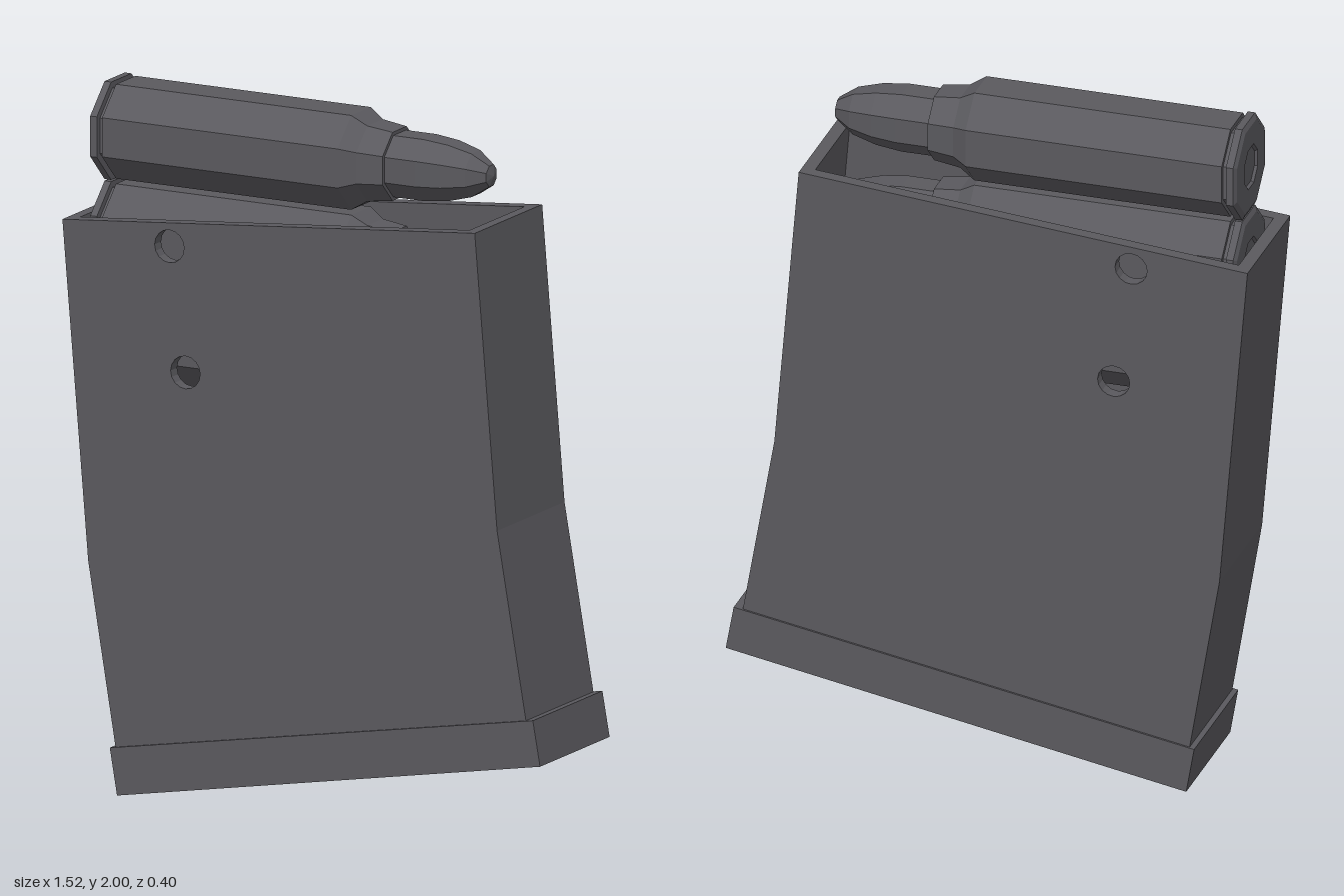
import * as THREE from 'three';

const HALF = 0.193;   // half width of the casing
const WALL = 0.037;   // wall thickness

// Outline points, top to bottom, along the two narrow sides
const BACK = [[-0.762, 1.627], [-0.68, 0.66], [-0.587, 0.1]];
const FRONT = [[0.549, 1.743], [0.62, 0.9], [0.72, 0.32]];
const HOLES = [[-0.422, 1.59], [-0.371, 1.235]];

function shapeOf(points) {
  return new THREE.Shape(points.map(([x, y]) => new THREE.Vector2(x, y)));
}

// Extrude a front-facing shape between two depths
function slab(name, shape, z0, z1, material) {
  const geometry = new THREE.ExtrudeGeometry(shape, {
    depth: z1 - z0, bevelEnabled: false, curveSegments: 8,
  });
  geometry.translate(0, 0, z0);
  const mesh = new THREE.Mesh(geometry, material);
  mesh.name = name;
  return mesh;
}

// Narrow wall: a band following one side of the outline, thickened inward
function endWall(name, side, inward, material) {
  const slope = (BACK[0][1] - FRONT[0][1]) / (BACK[0][0] - FRONT[0][0]);
  const inner = side.map(([x, y]) => [x + inward, y + inward * slope]);
  return slab(name, shapeOf([...side, ...inner.reverse()]), -HALF + WALL, HALF - WALL, material);
}

// Eight-sided cartridge pointing along +x; profile is [flat-to-axis distance, x]
function cartridgeGeometry() {
  const profile = [
    [0, -0.702], [0.055, -0.702], [0.06, -0.71], [0.125, -0.71], [0.14, -0.703],
    [0.14, -0.682], [0.122, -0.682], [0.122, -0.668], [0.135, -0.668],
    [0.135, 0.08], [0.108, 0.125], [0.098, 0.203], [0.088, 0.203],
    [0.088, 0.3], [0.08, 0.375], [0.062, 0.445], [0.03, 0.495], [0, 0.503],
  ];
  const points = profile.map(([a, x]) => new THREE.Vector2(a / Math.cos(Math.PI / 8), x));
  const geometry = new THREE.LatheGeometry(points, 8, Math.PI / 8);
  geometry.rotateZ(-Math.PI / 2);
  return geometry;
}

export function createModel() {
  const model = new THREE.Group();
  model.name = 'magazine';
  const metal = new THREE.MeshStandardMaterial({ color: 0x5a595e });
  metal.name = 'gunmetal grey';
  metal.flatShading = true;

  // Casing: two broad side walls with round inspection holes
  const sideShape = shapeOf([...BACK, ...[...FRONT].reverse()]);
  for (const [x, y] of HOLES) {
    sideShape.holes.push(new THREE.Path().absarc(x, y, 0.047, 0, Math.PI * 2, true));
  }
  const casing = new THREE.Group();
  casing.name = 'casing';
  casing.add(
    slab('leftSideWall', sideShape, HALF - WALL, HALF, metal),
    slab('rightSideWall', sideShape, -HALF, -HALF + WALL, metal),
    endWall('backWall', BACK, WALL, metal),
    endWall('frontWall', FRONT, -WALL, metal),
  );
  model.add(casing);

  // Slanted base plate, which also forms the floor
  const base = shapeOf([[-0.585, 0], [0.76, 0.243], [0.737, 0.372], [-0.608, 0.134]]);
  model.add(slab('basePlate', base, -0.199, 0.199, metal));

  // Stack of cartridges at the mouth
  const geometry = cartridgeGeometry();
  for (let i = 0; i < 3; i++) {
    const round = new THREE.Mesh(geometry, metal);
    round.name = `cartridge${i + 1}`;
    round.position.y = 1.86 - i * 0.285;
    model.add(round);
  }
  return model;
}
